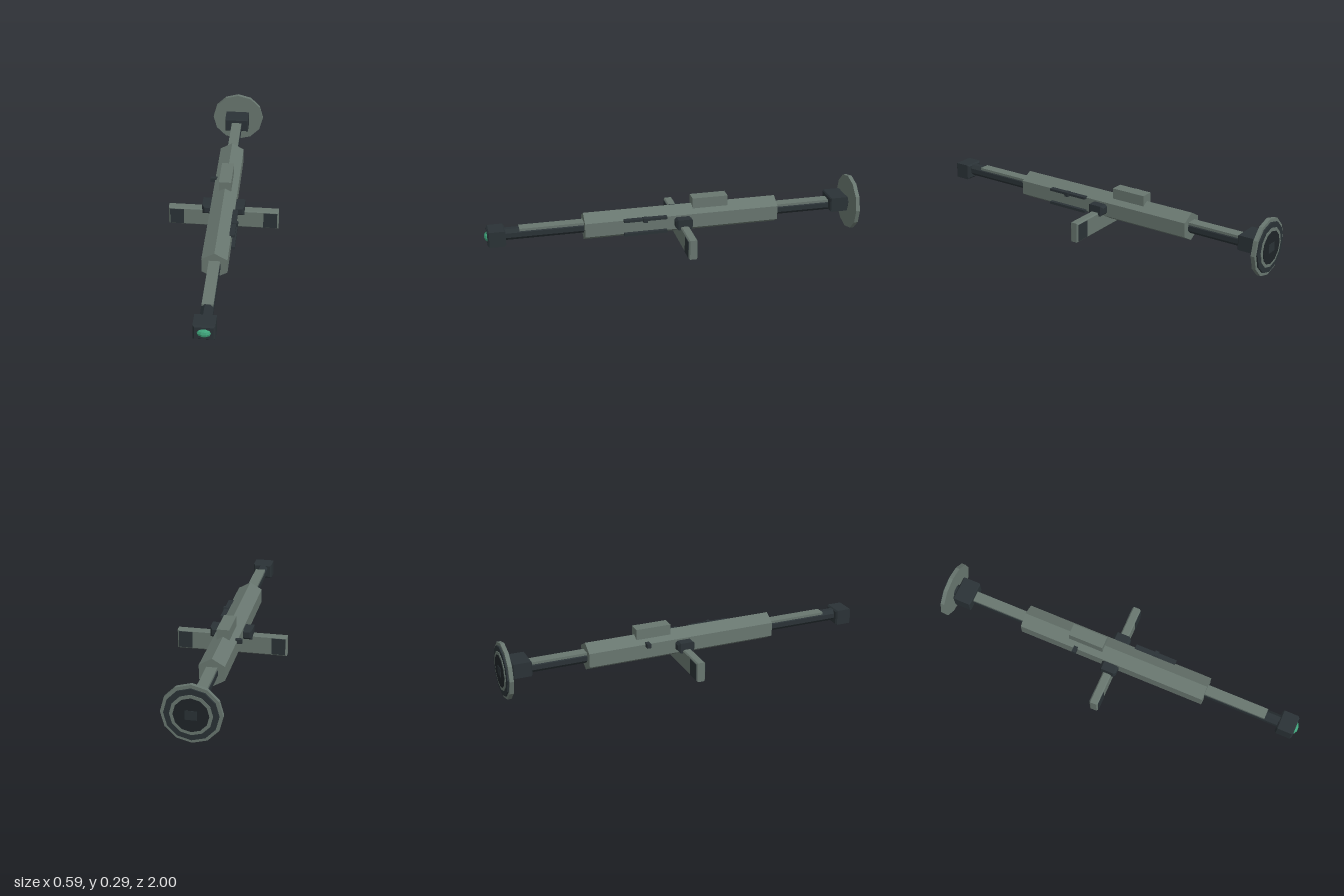
import * as THREE from 'three';

const mat = (color) => new THREE.MeshStandardMaterial({ color, flatShading: true });

export function createModel() {
  const model = new THREE.Group();
  const green = mat(0x68766f), dark = mat(0x2a3236), black = mat(0x1e2427), glass = mat(0x3fa37a);
  const AXIS = 0.148;

  function add(name, geometry, material, x, y, z) {
    const mesh = new THREE.Mesh(geometry, material);
    mesh.name = name;
    mesh.position.set(x, y, z);
    model.add(mesh);
    return mesh;
  }

  // Box given by its min and max on each axis
  function box(name, material, [x0, x1], [y0, y1], [z0, z1]) {
    return add(name, new THREE.BoxGeometry(x1 - x0, y1 - y0, z1 - z0), material,
      (x0 + x1) / 2, (y0 + y1) / 2, (z0 + z1) / 2);
  }

  // Box with every edge cut by c
  function cutBox(name, material, [x0, x1], [y0, y1], [z0, z1], c) {
    const w = (x1 - x0) / 2 - c, h = (y1 - y0) / 2 - c;
    const shape = new THREE.Shape([[-w, -h], [w, -h], [w, h], [-w, h]]
      .map(([x, y]) => new THREE.Vector2(x, y)));
    const g = new THREE.ExtrudeGeometry(shape, {
      depth: z1 - z0 - 2 * c, bevelEnabled: true, bevelSize: c, bevelThickness: c, bevelSegments: 1,
    });
    g.center();
    return add(name, g, material, (x0 + x1) / 2, (y0 + y1) / 2, (z0 + z1) / 2);
  }

  // Prism along z
  function prism(name, material, radius, sides, z0, z1, turn = 0, y = AXIS) {
    const g = new THREE.CylinderGeometry(radius, radius, z1 - z0, sides);
    g.rotateY(turn);
    g.rotateX(Math.PI / 2);
    return add(name, g, material, 0, y, (z0 + z1) / 2);
  }

  // Main body: hexagonal tube with a ridge on top
  prism('body', green, 0.075, 6, -0.548, 0.487);
  box('topBlock', green, [-0.033, 0.033], [0.19, 0.26], [-0.28, -0.09]);

  // Inner tube with cover strips on its top
  prism('barrel', dark, 0.0325, 8, -0.965, 0.92, Math.PI / 8, 0.147);
  box('frontCoverStrip', green, [-0.028, 0.028], [0.165, 0.178], [0.48, 0.82]);
  box('rearCoverStrip', green, [-0.028, 0.028], [0.165, 0.178], [-0.86, -0.54]);

  // Front head and lens
  cutBox('head', dark, [-0.053, 0.053], [0.099, 0.182], [0.892, 0.985], 0.008);
  const lens = add('lens', new THREE.SphereGeometry(1, 10, 6), glass, 0, 0.141, 0.975);
  lens.scale.set(0.038, 0.026, 0.025);

  // Rear collar
  cutBox('rearCollar', dark, [-0.067, 0.067], [0.122, 0.2], [-0.947, -0.847], 0.006);

  // Crossbar with grip pads on both faces
  cutBox('crossbar', green, [-0.293, 0.293], [0.035, 0.14], [-0.053, -0.007], 0.006);
  for (const s of [-1, 1]) {
    const xs = s > 0 ? [0.212, 0.285] : [-0.285, -0.212];
    box(s > 0 ? 'leftGripPad' : 'rightGripPad', dark, xs, [0.043, 0.132], [-0.056, -0.004]);
  }
  cutBox('crossbarHousing', dark, [-0.112, 0.112], [0.122, 0.177], [-0.076, 0.016], 0.012);

  // Side rails with a slider on the left, knob on the right
  box('upperRail', dark, [0.055, 0.083], [0.179, 0.191], [0.057, 0.285]);
  box('lowerRail', dark, [0.055, 0.084], [0.104, 0.118], [0.057, 0.285]);
  box('railSlider', dark, [0.06, 0.09], [0.172, 0.195], [0.162, 0.184]);
  box('sideKnob', dark, [-0.09, -0.055], [0.172, 0.195], [-0.242, -0.22]);

  // End plate: stepped twelve-sided discs facing back
  prism('endPlate', green, 0.147, 12, -0.985, -0.964);
  prism('endPlateFace', dark, 0.13, 12, -0.993, -0.98);
  prism('endPlateRing', green, 0.102, 12, -0.996, -0.98);
  prism('endPlateCentre', black, 0.085, 12, -0.998, -0.98);
  box('endPlateBoss', dark, [-0.028, 0.028], [0.125, 0.171], [-1.0, -0.98]);

  return model;
}
